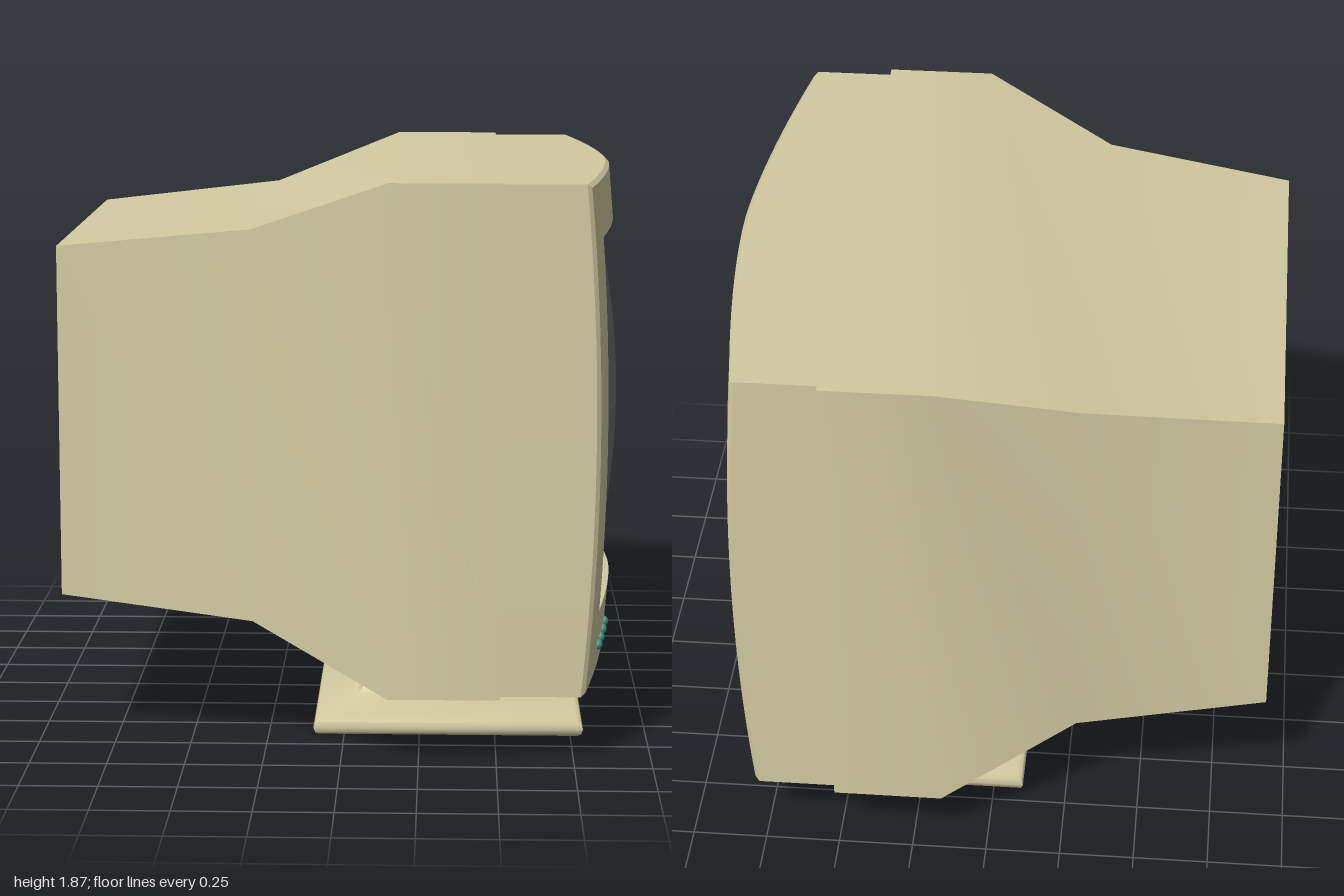
import * as THREE from 'three';
import { toCreasedNormals } from 'three/addons/utils/BufferGeometryUtils.js';

const CY = 1.065; // height of the screen centre

// Points around a rectangle, counter-clockwise, n per side
function rect(a0, a1, b0, b1, n = 1) {
  const c = [[a0, b0], [a1, b0], [a1, b1], [a0, b1]];
  const pts = [];
  for (let s = 0; s < 4; s++) {
    const p = c[s], q = c[(s + 1) % 4];
    for (let i = 0; i < n; i++) {
      const t = i / n;
      pts.push([p[0] + (q[0] - p[0]) * t, p[1] + (q[1] - p[1]) * t]);
    }
  }
  return pts;
}

// Skin a list of rings, optionally closing the ends
function loft(rings, capStart, capEnd, crease = 0.6) {
  const pos = [];
  const tri = (a, b, c) => pos.push(...a.toArray(), ...b.toArray(), ...c.toArray());
  const count = rings[0].length;
  for (let i = 0; i < rings.length - 1; i++) {
    for (let j = 0; j < count; j++) {
      const k = (j + 1) % count;
      const a = rings[i][j], b = rings[i][k], c = rings[i + 1][k], d = rings[i + 1][j];
      tri(a, b, c);
      tri(a, c, d);
    }
  }
  const cap = (ring, flip) => {
    const m = new THREE.Vector3();
    ring.forEach((p) => m.addScaledVector(p, 1 / count));
    ring.forEach((p, j) => {
      const q = ring[(j + 1) % count];
      if (flip) tri(m, q, p);
      else tri(m, p, q);
    });
  };
  if (capStart) cap(rings[0], true);
  if (capEnd) cap(rings[rings.length - 1], false);
  const g = new THREE.BufferGeometry();
  g.setAttribute('position', new THREE.Float32BufferAttribute(pos, 3));
  return toCreasedNormals(g, crease);
}

// Bulging surfaces of the bezel and the glass
const bezelX = (y, z) =>
  0.92 - 0.04 * ((y - 1.045) / 0.82) ** 2 - 0.1 * (Math.abs(z) / 0.97) ** 1.6;
const glassX = (y, z) => 0.915 - 0.075 * ((y - CY) / 0.61) ** 2 - 0.1 * (z / 0.74) ** 2;

export function createModel() {
  const model = new THREE.Group();
  const mat = (name, color) => {
    const m = new THREE.MeshStandardMaterial({ color });
    m.name = name;
    return m;
  };
  const beige = mat('beigePlastic', 0xd2cba2);
  const grey = mat('greyGlass', 0x6c6f72);
  const teal = mat('tealButton', 0x3f9186);
  const add = (name, geo, material) => {
    const mesh = new THREE.Mesh(geo, material);
    mesh.name = name;
    model.add(mesh);
    return mesh;
  };

  // Rear housing: x, bottom, top, half width
  const housing = [
    [-0.92, 0.495, 1.64, 0.735],
    [-0.29, 0.43, 1.705, 0.82],
    [0.15, 0.22, 1.87, 1],
    [0.51, 0.22, 1.87, 1],
  ].map(([x, y0, y1, w]) => rect(y0, y1, -w, w).map(([y, z]) => new THREE.Vector3(x, y, z)));
  add('rearHousing', loft(housing, true, true), beige);

  // Front bezel: outer wall, chamfer, curved face, then the wall of the opening
  const ring = (inset, fx) =>
    rect(0.225 + inset, 1.865 - inset, -0.97 + inset, 0.97 - inset, 24)
      .map(([y, z]) => new THREE.Vector3(fx(y, z), y, z));
  const opening = (grow, back) =>
    rect(0.455 - grow, 1.675 + grow, -0.74 - grow, 0.74 + grow, 24)
      .map(([y, z]) => new THREE.Vector3(bezelX(y, z) - back, y, z));
  add('frontBezel', loft([
    ring(0, () => 0.5),
    ring(0, (y, z) => bezelX(y, z) - 0.012),
    ring(0.012, bezelX),
    opening(0, 0),
    opening(-0.006, 0.14),
  ], true, false), beige);

  // Curved glass
  const glass = new THREE.PlaneGeometry(1.48, 1.22, 24, 24);
  const p = glass.attributes.position;
  for (let i = 0; i < p.count; i++) {
    const y = CY + p.getY(i), z = -p.getX(i);
    p.setXYZ(i, glassX(y, z), y, z);
  }
  glass.computeVertexNormals();
  add('screen', glass, grey);

  // Domed controls on the lower bezel
  const control = (name, y, z, r, material) => {
    const m = add(name, new THREE.SphereGeometry(r, 24, 16), material);
    m.scale.x = 0.015 / r;
    m.position.set(bezelX(y, z), y, z);
    m.rotation.y = -Math.sign(z) * 0.1;
  };
  [0.65, 0.55, 0.435, 0.325].forEach((z) => control('adjustButton', 0.32, z, 0.018, teal));
  control('powerButton', 0.306, -0.67, 0.048, teal);
  control('indicatorLight', 0.315, -0.545, 0.018, beige);

  // Pedestal: y, half depth, half width
  const stand = [
    [0, 0.43, 0.655],
    [0.007, 0.441, 0.664],
    [0.025, 0.447, 0.668],
    [0.043, 0.441, 0.664],
    [0.052, 0.425, 0.645],
    [0.075, 0.28, 0.48],
    [0.085, 0.255, 0.45],
    [0.1, 0.24, 0.432],
    [0.22, 0.21, 0.32],
    [0.28, 0.21, 0.32],
  ].map(([y, d, w]) => rect(-0.03 - w, -0.03 + w, 0.345 - d, 0.345 + d)
    .map(([z, x]) => new THREE.Vector3(x, y, z)));
  // Shift the neck slightly back over the plate
  stand.slice(5).forEach((r) => r.forEach((v) => { v.x -= 0.05; }));
  add('stand', loft(stand, true, true, 0.9), beige);

  return model;
}
